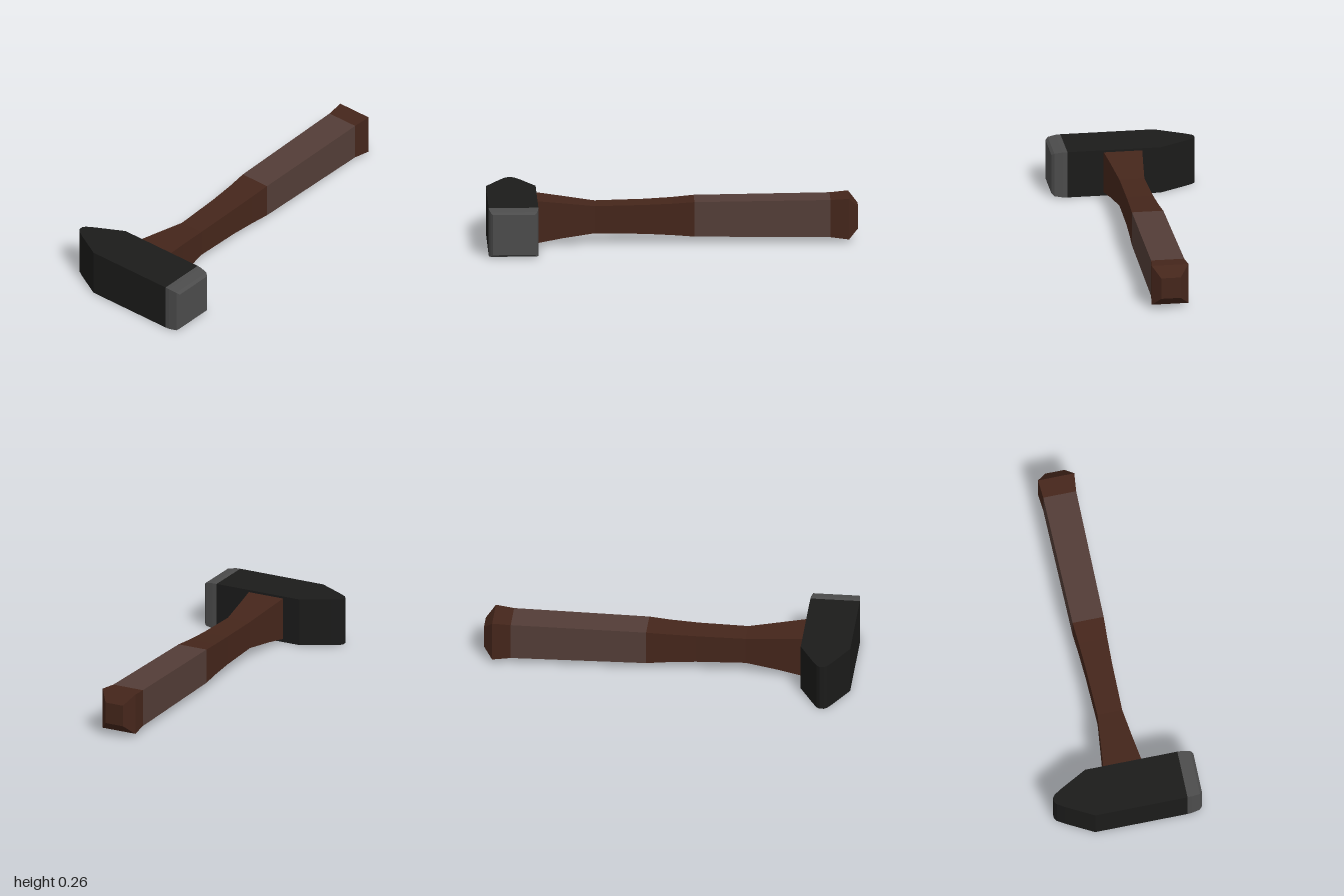
import * as THREE from 'three';

// Loft rectangles [z, xMin, xMax, yMin, yMax], listed in order of rising z, with closed ends
function loft(name, sections, color) {
  const pos = [];
  const rings = sections.map(([z, x0, x1, y0, y1]) =>
    [[x0, y0, z], [x1, y0, z], [x1, y1, z], [x0, y1, z]]);
  const quad = (a, b, c, d) => pos.push(...a, ...b, ...c, ...a, ...c, ...d);
  for (let s = 0; s < rings.length - 1; s++) {
    for (let i = 0; i < 4; i++) {
      const j = (i + 1) % 4;
      quad(rings[s][i], rings[s][j], rings[s + 1][j], rings[s + 1][i]);
    }
  }
  quad(...[...rings[0]].reverse());
  quad(...rings[rings.length - 1]);
  const geometry = new THREE.BufferGeometry();
  geometry.setAttribute('position', new THREE.Float32BufferAttribute(pos, 3));
  geometry.computeVertexNormals();
  const mesh = new THREE.Mesh(geometry, new THREE.MeshStandardMaterial({ color, flatShading: true }));
  mesh.name = name;
  return mesh;
}

export function createModel() {
  const group = new THREE.Group();
  group.name = 'hammer';

  // Steel head: wedge-shaped peen at the back, square striking face at the front
  const headX = -0.866, headHeight = 0.262;
  const headSection = (z, halfWidth, inset) =>
    [z, headX - halfWidth, headX + halfWidth, inset, headHeight - inset];
  const head = new THREE.Group();
  head.name = 'head';
  head.add(
    loft('headBody', [
      headSection(-0.397, 0.012, 0),
      headSection(-0.385, 0.028, 0),
      headSection(-0.345, 0.053, 0),
      headSection(-0.195, 0.134, 0),
      headSection(0.313, 0.134, 0),
    ], 0x1b1b1a),
    loft('strikingFace', [
      headSection(0.313, 0.134, 0),
      headSection(0.338, 0.133, 0.001),
      headSection(0.383, 0.126, 0.008),
      headSection(0.397, 0.113, 0.02),
    ], 0x4c4c4c));
  group.add(head);

  // Wooden handle: built along z, then turned to run along +x (local x becomes -z)
  const handle = new THREE.Group();
  handle.name = 'handle';
  const gripStart = [0.117, -0.085, 0.086, 0.041, 0.232];
  const gripEnd = [0.85, -0.087, 0.094, 0.033, 0.239];
  const wood = 0x45261b;
  handle.add(
    loft('handleNeck', [
      [-0.78, -0.122, 0.1, 0.01, 0.256],
      [-0.6, -0.097, 0.08, 0.039, 0.234],
      [-0.42, -0.075, 0.061, 0.061, 0.211],
      [-0.15, -0.076, 0.069, 0.056, 0.216],
      [0, -0.08, 0.077, 0.049, 0.223],
      gripStart,
    ], wood),
    loft('grip', [gripStart, gripEnd], 0x533d37),
    loft('handleEnd', [
      gripEnd,
      [0.95, -0.098, 0.102, 0.022, 0.247],
      [1, -0.053, 0.053, 0.073, 0.191],
    ], wood));
  handle.rotation.y = Math.PI / 2;
  group.add(handle);

  return group;
}
